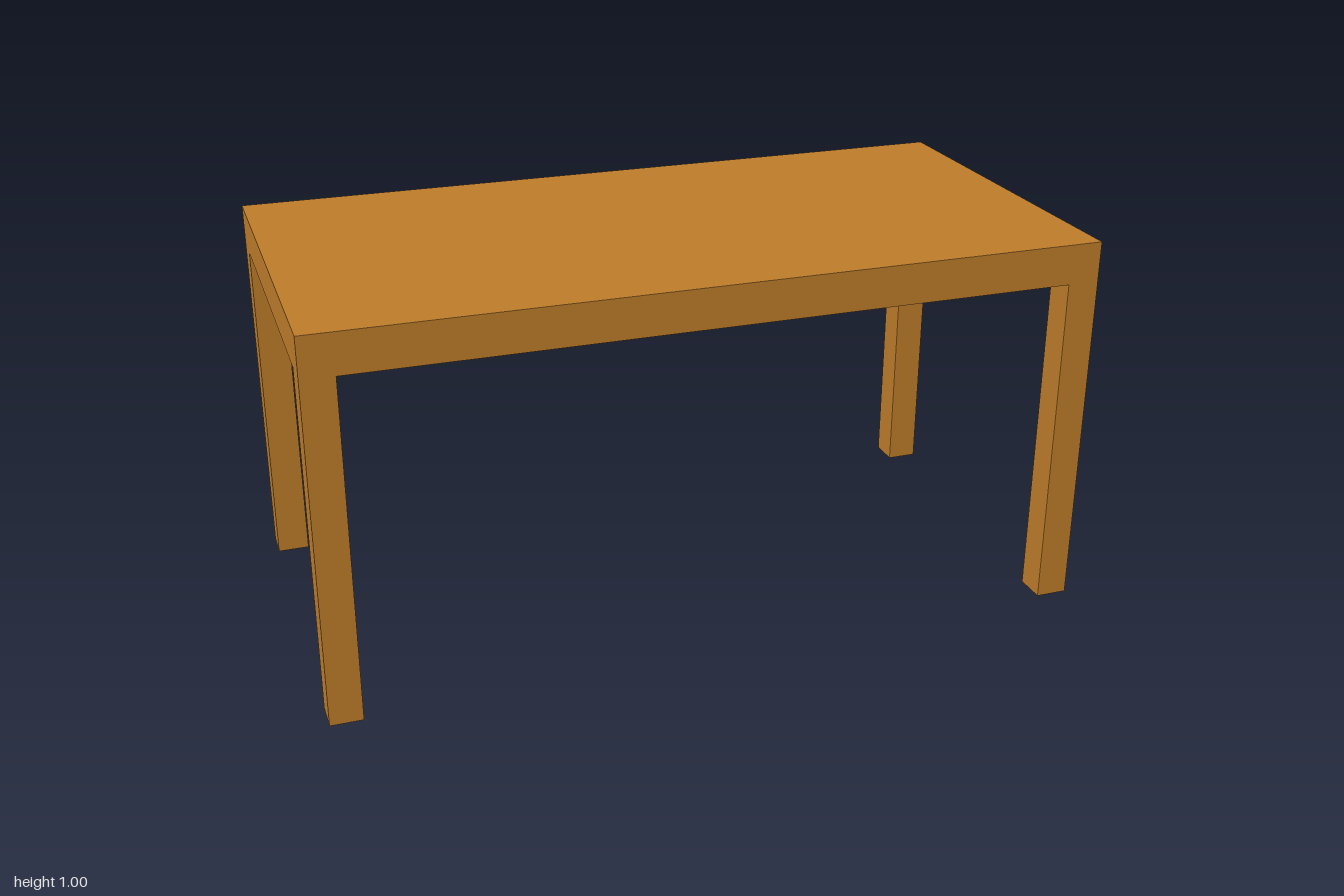
import * as THREE from 'three';

export function createModel() {
  const table = new THREE.Group();
  table.name = 'table';
  const wood = new THREE.MeshStandardMaterial({ color: 0xc17f2b });
  wood.name = 'wood';

  const length = 2, depth = 1, height = 1, topThickness = 0.105, legWidth = 0.083;
  const legHeight = height - topThickness;

  // Thick flat slab
  const top = new THREE.Mesh(new THREE.BoxGeometry(length, topThickness, depth), wood);
  top.name = 'tableTop';
  top.position.y = height - topThickness / 2;
  table.add(top);

  // Square legs flush with the corners
  const legGeometry = new THREE.BoxGeometry(legWidth, legHeight, legWidth);
  for (const [side, sx] of [['Left', 1], ['Right', -1]]) {
    for (const [end, sz] of [['front', 1], ['back', -1]]) {
      const leg = new THREE.Mesh(legGeometry, wood);
      leg.name = `${end}${side}Leg`;
      leg.position.set(sx * (length - legWidth) / 2, legHeight / 2, sz * (depth - legWidth) / 2);
      table.add(leg);
    }
  }
  return table;
}
